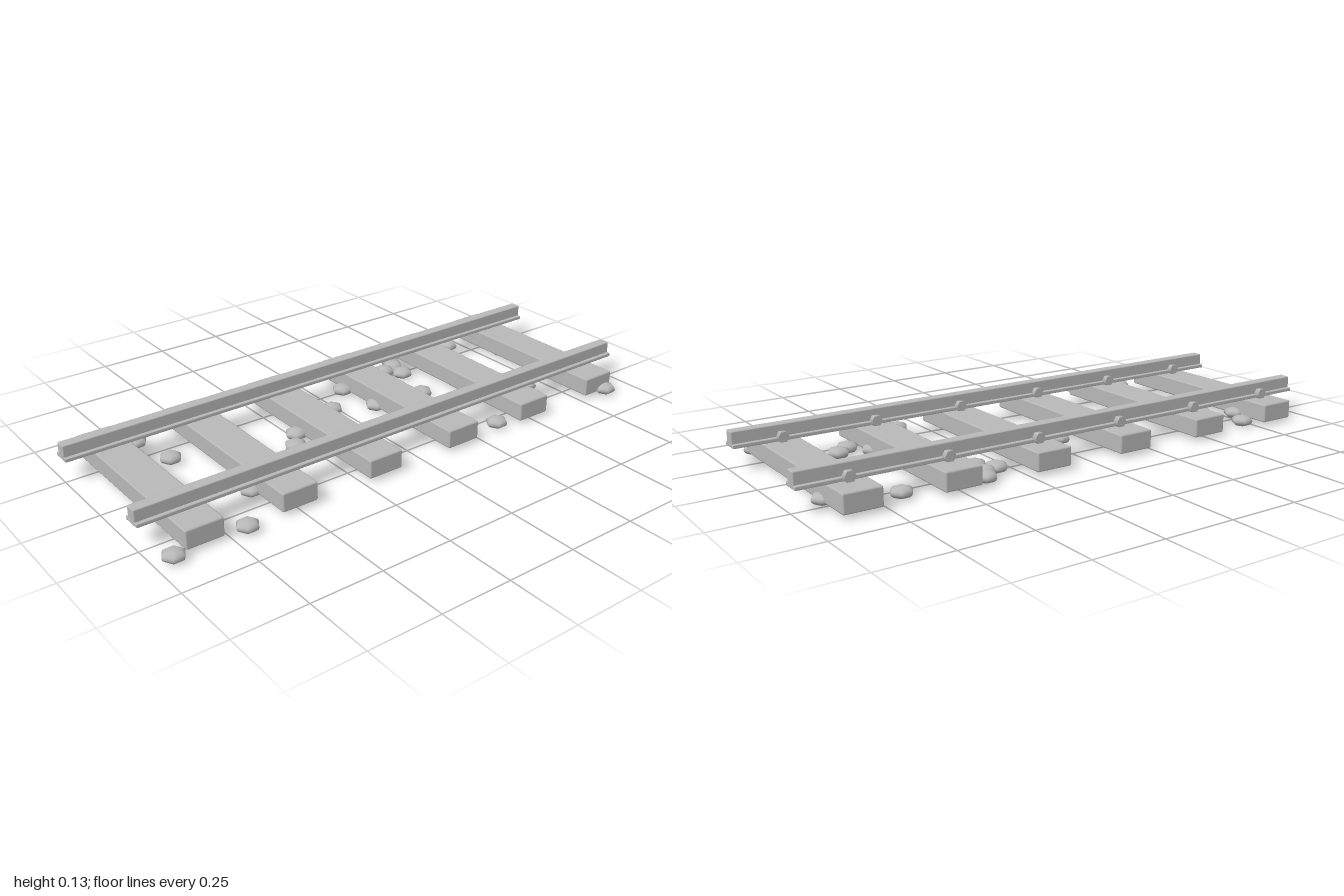
import * as THREE from 'three';
import { RoundedBoxGeometry } from 'three/addons/geometries/RoundedBoxGeometry.js';

export function createModel() {
  const track = new THREE.Group();
  track.name = 'railwayTrack';
  const grey = new THREE.MeshStandardMaterial({ color: 0xb8b8b8 });
  grey.name = 'grey';

  const add = (name, geometry, x, y, z) => {
    const mesh = new THREE.Mesh(geometry, grey);
    mesh.name = name;
    mesh.position.set(x, y, z);
    track.add(mesh);
  };

  const railX = [-0.26, 0.22];
  const sleeperZ = Array.from({ length: 6 }, (_, i) => -0.835 + i * 0.3335);

  // Sleepers with softly shaded bevels
  const sleeper = new RoundedBoxGeometry(0.732, 0.066, 0.13, 1, 0.006);
  for (const z of sleeperZ) add('sleeper', sleeper, -0.019, 0.047, z);

  // Rails: a wide foot under a square head
  const foot = new RoundedBoxGeometry(0.066, 0.013, 2, 1, 0.003);
  const head = new RoundedBoxGeometry(0.04, 0.044, 2, 1, 0.004);
  for (const x of railX) {
    add('railFoot', foot, x, 0.0875, 0);
    add('railHead', head, x, 0.113, 0);
  }

  // Six-sided spikes on the outer side of each rail
  const spike = new THREE.CylinderGeometry(0.02, 0.02, 0.02, 6);
  spike.rotateZ(Math.PI / 2);
  for (const x of railX) {
    for (const z of sleeperZ) add('spike', spike, x - 0.036, 0.096, z);
  }

  // Flattened six-sided ballast stones
  const stone = new THREE.SphereGeometry(0.039, 6, 8);
  stone.rotateY(Math.PI / 6);
  stone.scale(1, 0.51, 1);
  const stones = [
    [-0.31, -0.675], [-0.23, -0.89], [0.35, -0.87], [0.15, -0.66], [0, -0.6],
    [0.12, -0.55], [0.19, -0.61], [-0.14, -0.81], [0.235, -0.49], [0.07, -0.46],
    [-0.335, -0.395], [-0.215, -0.36], [-0.285, -0.37], [-0.27, -0.315],
    [-0.04, -0.31], [0.1, -0.395], [0.305, -0.36], [-0.235, -0.09],
    [-0.06, -0.11], [-0.13, 0.035], [0.02, 0.147], [-0.05, 0.245], [0.02, 0.295],
    [0.175, 0.57], [-0.16, 0.67], [-0.33, 0.71], [0.345, 0.69], [-0.235, 0.765],
    [0.35, 0.94],
  ];
  for (const [x, z] of stones) add('stone', stone, x, 0.0205, z);

  return track;
}
